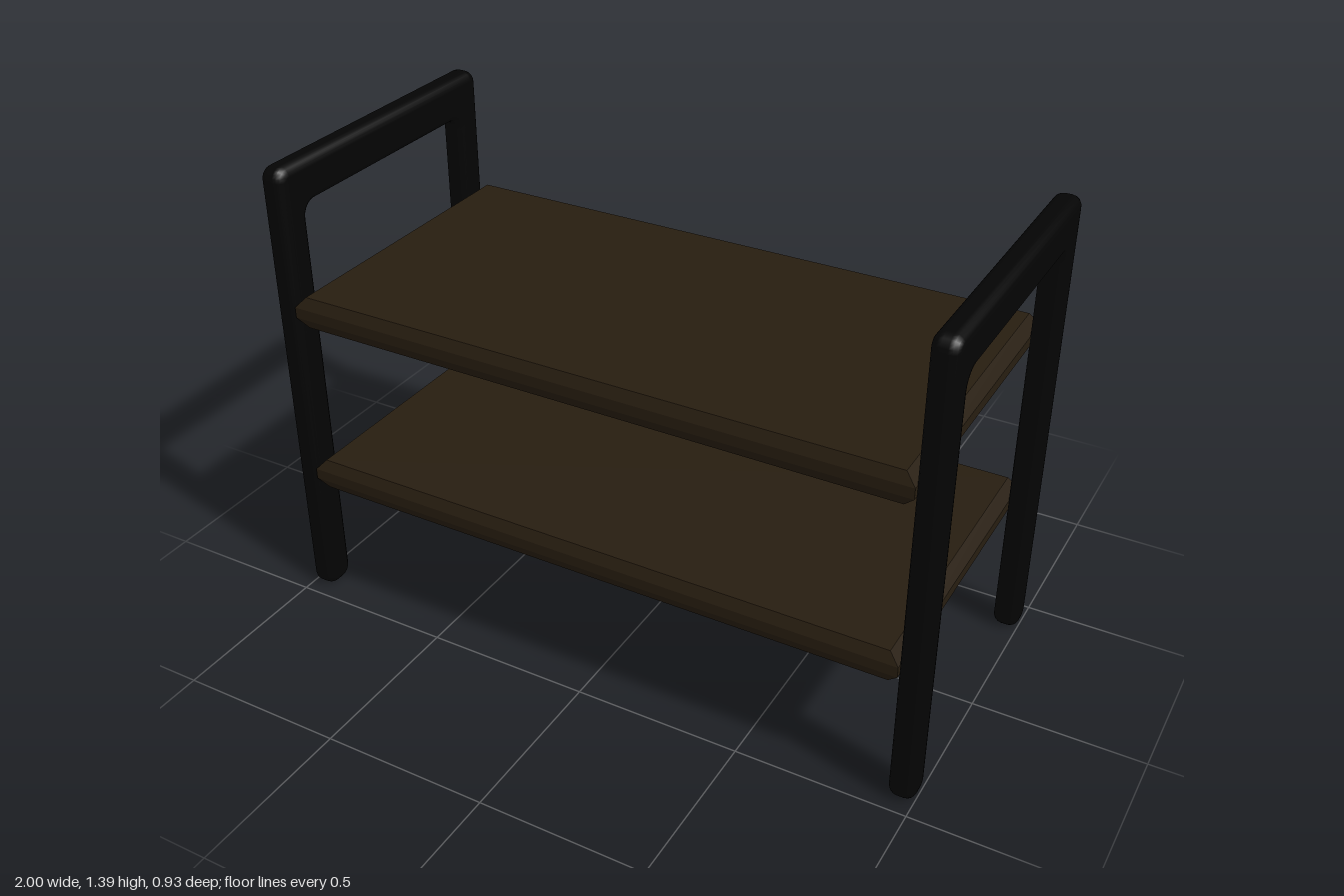
import * as THREE from 'three';
import { toCreasedNormals } from 'three/addons/utils/BufferGeometryUtils.js';
import { ConvexGeometry } from 'three/addons/geometries/ConvexGeometry.js';

const black = new THREE.MeshStandardMaterial({ color: 0x040404 });
const wood = new THREE.MeshStandardMaterial({ color: 0x271d10 });

// Closed outline whose right-angled corners are rounded to radius r
function roundedOutline(corners, r) {
  const shape = new THREE.Shape();
  const n = corners.length;
  const pts = corners.map(([x, y]) => new THREE.Vector2(x, y));
  pts.forEach((p, i) => {
    const a = pts[(i + n - 1) % n].clone().sub(p).setLength(r).add(p);
    const b = pts[(i + 1) % n].clone().sub(p).setLength(r).add(p);
    const ha = a.clone().lerp(p, 0.5523);
    const hb = b.clone().lerp(p, 0.5523);
    if (i === 0) shape.moveTo(a.x, a.y);
    else shape.lineTo(a.x, a.y);
    shape.bezierCurveTo(ha.x, ha.y, hb.x, hb.y, b.x, b.y);
  });
  return shape;
}

// Upside-down U: two legs joined by a deep top rail, with rounded edges
function sideFrameGeometry() {
  const out = 0.463, inn = 0.363, top = 1.395, under = 1.262;
  const bevel = 0.028, thickness = 0.075;
  const shape = roundedOutline([
    [-out, 0], [-inn, 0], [-inn, under], [inn, under],
    [inn, 0], [out, 0], [out, top], [-out, top],
  ], 0.038);
  const geo = new THREE.ExtrudeGeometry(shape, {
    depth: thickness - 2 * bevel, curveSegments: 5,
    bevelEnabled: true, bevelSize: bevel, bevelThickness: bevel,
    bevelOffset: -bevel, bevelSegments: 4,
  });
  geo.translate(0, 0, bevel - thickness / 2);
  geo.rotateY(Math.PI / 2);
  return toCreasedNormals(geo, 0.7);
}

// Board with chamfered edges all round
function shelfGeometry() {
  const rings = [[0.898, 0.048, 0.447], [0.928, 0.016, 0.463]];
  const points = [];
  for (const [x, y, z] of rings)
    for (const sx of [-1, 1])
      for (const sy of [-1, 1])
        for (const sz of [-1, 1])
          points.push(new THREE.Vector3(sx * x, sy * y, sz * z));
  return new ConvexGeometry(points);
}

export function createModel() {
  const group = new THREE.Group();
  group.name = 'shelfRack';

  // Side frames
  const frameGeo = sideFrameGeometry();
  for (const [name, side] of [['leftFrame', 1], ['rightFrame', -1]]) {
    const frame = new THREE.Mesh(frameGeo, black);
    frame.name = name;
    frame.position.x = side * 0.9625;
    group.add(frame);
  }

  // Shelves
  const shelfGeo = shelfGeometry();
  for (const [name, y] of [['lowerShelf', 0.429], ['upperShelf', 0.971]]) {
    const shelf = new THREE.Mesh(shelfGeo, wood);
    shelf.name = name;
    shelf.position.y = y;
    group.add(shelf);
  }
  return group;
}
